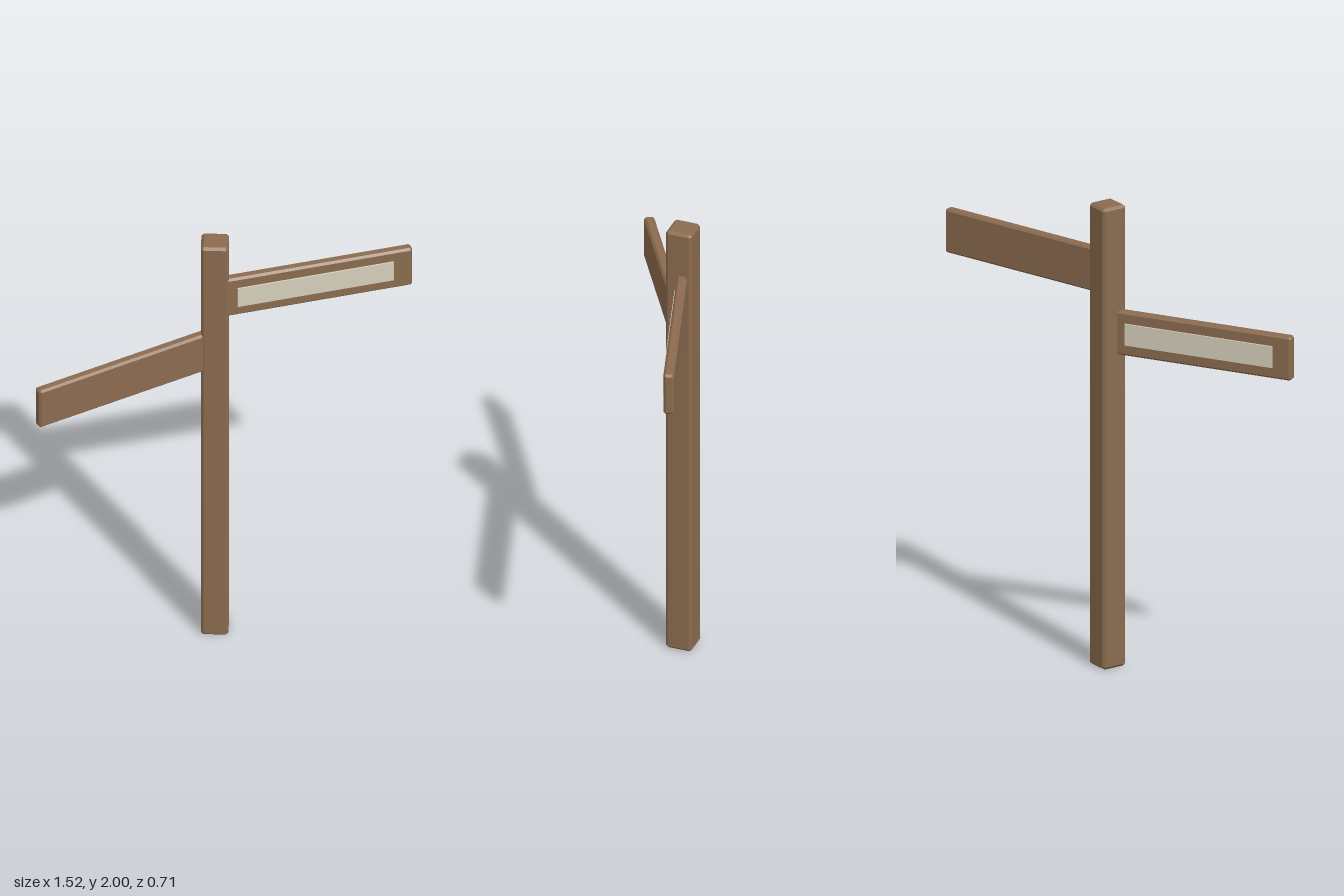
import * as THREE from 'three';
import { ConvexGeometry } from 'three/addons/geometries/ConvexGeometry.js';

const wood = new THREE.MeshStandardMaterial({ color: 0x8b6b4f });
const cream = new THREE.MeshStandardMaterial({ color: 0xd4ceba });

// Box with every edge cut by a flat chamfer c
function chamferBox(w, h, d, c) {
  const points = [];
  for (const sx of [-1, 1]) for (const sy of [-1, 1]) for (const sz of [-1, 1]) {
    const x = w / 2, y = h / 2, z = d / 2;
    for (const [px, py, pz] of [[x, y - c, z - c], [x - c, y, z - c], [x - c, y - c, z]]) {
      points.push(new THREE.Vector3(sx * px, sy * py, sz * pz));
    }
  }
  return new ConvexGeometry(points);
}

function part(name, geometry, material, x, y, z) {
  const mesh = new THREE.Mesh(geometry, material);
  mesh.name = name;
  mesh.position.set(x, y, z);
  return mesh;
}

// Plank running out from the post axis along local +x, with a raised panel on its +z face
function signArm(name, y, angle) {
  const length = 0.834, thickness = 0.043;
  const arm = new THREE.Group();
  arm.name = name;
  arm.add(
    part('plank', chamferBox(length, 0.19, thickness, 0.009), wood, length / 2, 0, 0),
    part('panel', new THREE.BoxGeometry(0.664, 0.093, 0.012), cream, 0.421, 0, thickness / 2 + 0.001)
  );
  arm.position.y = y;
  arm.rotation.y = THREE.MathUtils.degToRad(angle);
  return arm;
}

export function createModel() {
  const signpost = new THREE.Group();
  signpost.name = 'signpost';

  // Everything is built around the post axis, which sits off centre
  const body = new THREE.Group();
  body.name = 'postAndArms';
  body.position.set(-0.042, 0, -0.092);
  body.add(
    part('post', chamferBox(0.113, 2, 0.113, 0.011), wood, 0, 1, 0),
    signArm('upperArm', 1.705, 17.2),
    signArm('lowerArm', 1.453, 180 + 31)
  );
  signpost.add(body);
  return signpost;
}
